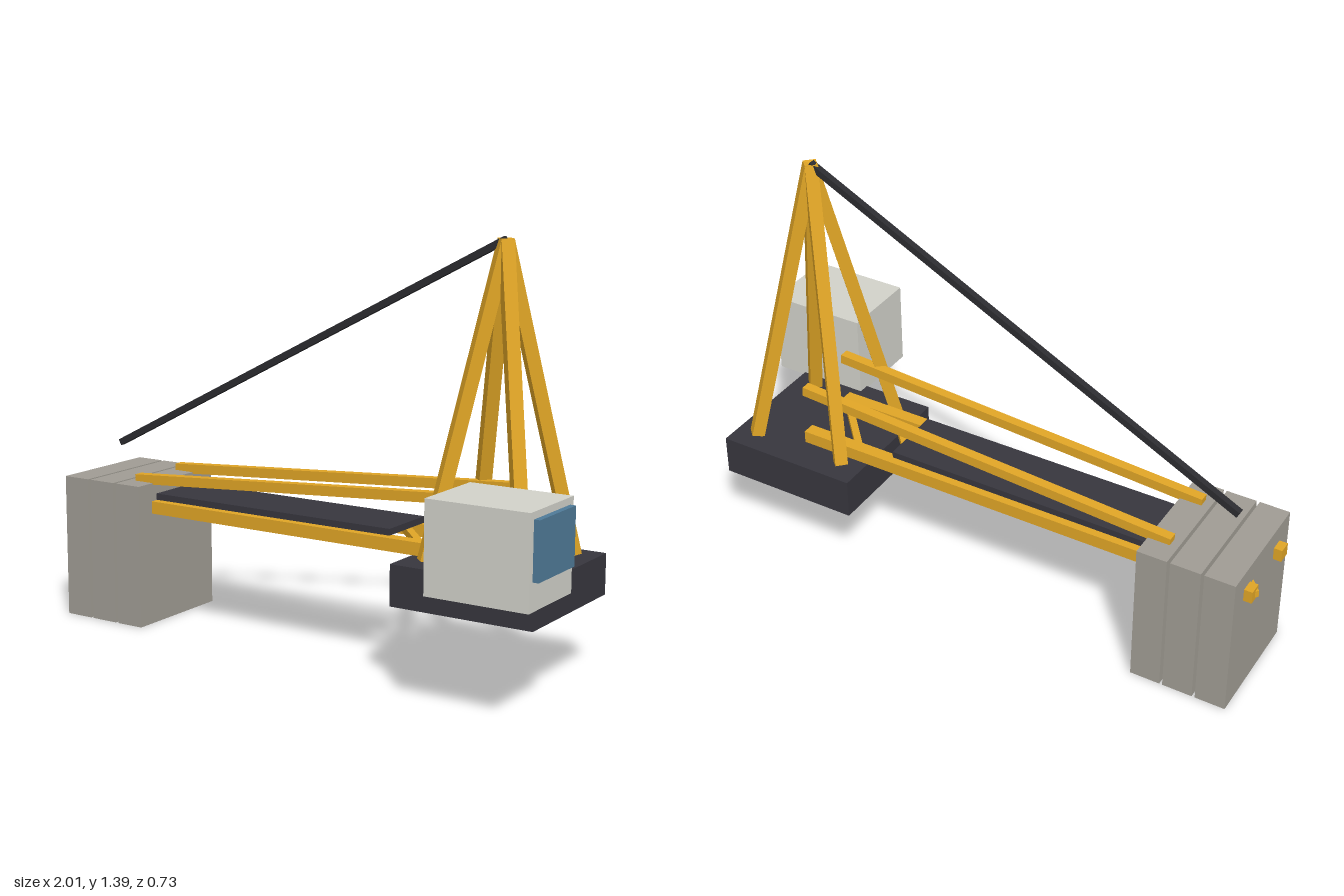
import * as THREE from 'three';

const material = (name, color) => {
  const m = new THREE.MeshStandardMaterial({ color });
  m.name = name;
  return m;
};

export function createModel() {
  const yellow = material('yellow steel', 0xe0a526);
  const dark = material('dark steel', 0x37363e);
  const black = material('black cable', 0x2c2c30);
  const concrete = material('concrete grey', 0xa09c94);
  const pale = material('pale cab paint', 0xd2d2ca);
  const glass = material('blue glass', 0x4f7a98);

  const model = new THREE.Group();
  model.name = 'craneTop';
  const midZ = -0.118; // centre line of the jib
  const mastX = 0.632;

  // Box given by its minimum and maximum corners
  const box = (name, mat, [x0, y0, z0], [x1, y1, z1]) => {
    const mesh = new THREE.Mesh(new THREE.BoxGeometry(x1 - x0, y1 - y0, z1 - z0), mat);
    mesh.position.set((x0 + x1) / 2, (y0 + y1) / 2, (z0 + z1) / 2);
    mesh.name = name;
    model.add(mesh);
  };

  // Square bar running between two points
  const bar = (name, mat, from, to, size) => {
    const a = new THREE.Vector3(...from);
    const b = new THREE.Vector3(...to);
    const mesh = new THREE.Mesh(new THREE.BoxGeometry(size, size, a.distanceTo(b)), mat);
    mesh.position.copy(a).add(b).multiplyScalar(0.5);
    mesh.lookAt(b);
    mesh.name = name;
    model.add(mesh);
  };

  // Slewing platform under the mast
  box('platform', dark, [0.384, 0.25, -0.366], [0.878, 0.385, 0.133]);

  // Counterweight slabs
  for (let i = 0; i < 3; i++) {
    const x = -0.972 + i * 0.1125;
    box('counterweight', concrete, [x, 0, midZ - 0.204], [x + 0.102, 0.496, midZ + 0.204]);
  }

  // Main beams and sloping hand rails on both sides
  for (const side of [-1, 1]) {
    const z = midZ + side * 0.112;
    box('mainBeam', yellow, [-1, 0.39, z - 0.022], [0.63, 0.433, z + 0.022]);
    bar('upperRail', yellow, [-0.72, 0.502, z], [0.63, 0.592, z], 0.033);
  }

  // Diagonal braces between the main beams
  for (let i = 0; i < 8; i++) {
    const x = -1 + i * 0.203;
    bar('diagonalBrace', yellow, [x, 0.41, midZ - 0.112], [x + 0.203, 0.41, midZ + 0.112], 0.024);
  }

  // Walkway deck
  box('walkway', dark, [-0.7, 0.434, midZ - 0.108], [0.295, 0.456, midZ + 0.108]);

  // Four mast legs meeting at the apex
  for (const sx of [-1, 1]) {
    for (const sz of [-1, 1]) {
      bar('mastLeg', yellow, [mastX + sx * 0.17, 0.388, midZ + sz * 0.17], [mastX, 1.375, midZ], 0.042);
    }
  }

  // Tie from the apex to the counterweight
  bar('tieCable', black, [-0.885, 0.595, midZ], [mastX, 1.376, midZ], 0.022);

  // Operator cab with its front window
  box('cab', pale, [0.64, 0.376, 0.096], [0.981, 0.667, 0.366]);
  box('cabWindow', glass, [0.98, 0.464, 0.119], [1, 0.645, 0.346]);

  return model;
}
